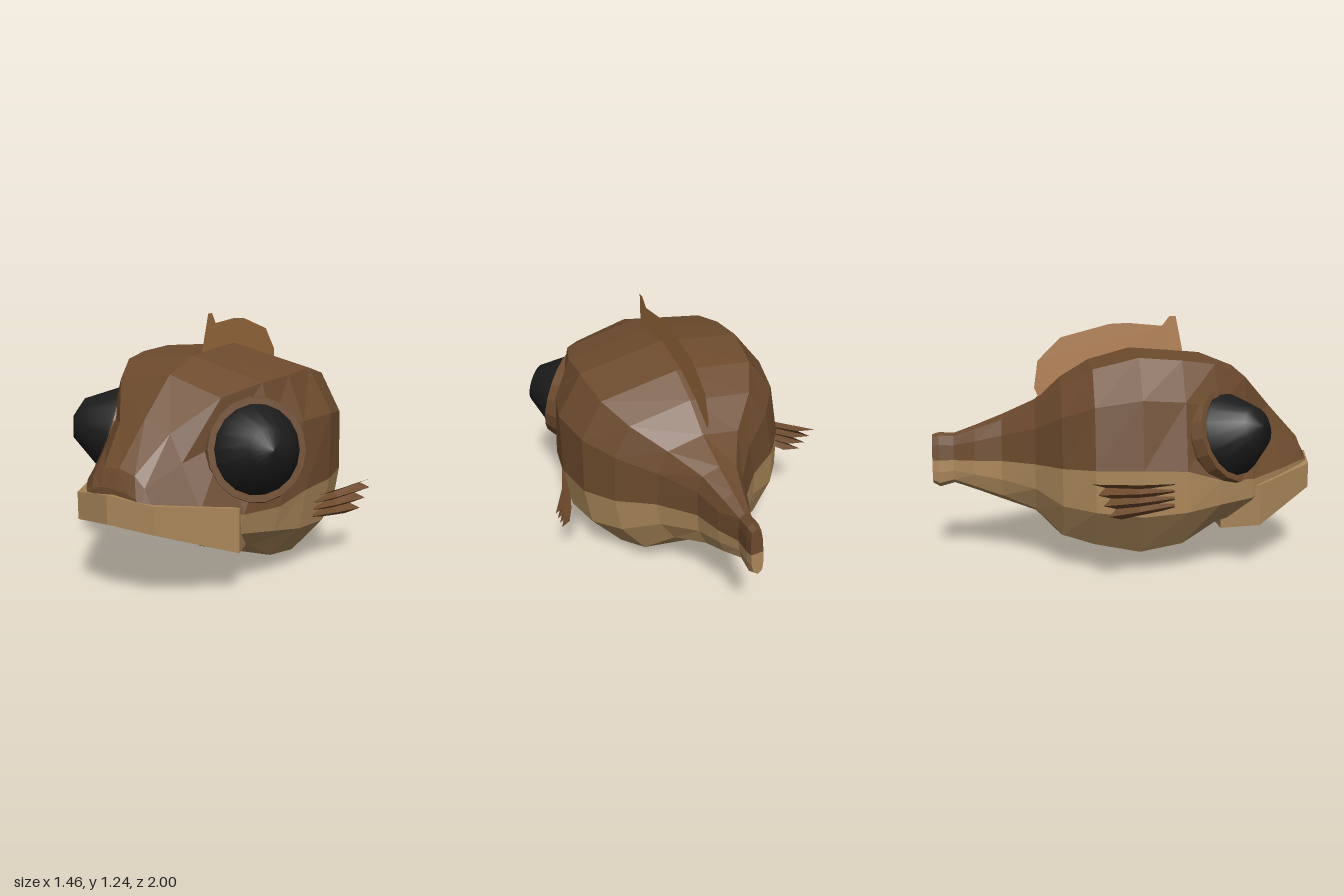
import * as THREE from 'three';

const mat = (name, color, side = THREE.FrontSide) => {
  const m = new THREE.MeshStandardMaterial({ color, side });
  m.name = name;
  return m;
};

// Faceted geometry from a list of quads or triangles of [x, y, z] corners
function faceted(faces) {
  const pos = [];
  for (const f of faces)
    for (let i = 1; i < f.length - 1; i++) pos.push(...f[0], ...f[i], ...f[i + 1]);
  const g = new THREE.BufferGeometry();
  g.setAttribute('position', new THREE.Float32BufferAttribute(pos, 3));
  g.computeVertexNormals();
  return g;
}

export function createModel() {
  const backBrown = mat('back brown', 0x6c4a2d);
  const bellyTan = mat('belly tan', 0xab875a);
  const finOrange = mat('dorsal fin ochre', 0xa87442, THREE.DoubleSide);
  const finBrown = mat('side fin brown', 0x6e4a2c, THREE.DoubleSide);
  const eyeBlack = mat('eye black', 0x1b1b1b);

  const fish = new THREE.Group();
  fish.name = 'fish';
  const add = (name, geo, material, parent = fish) => {
    const m = new THREE.Mesh(geo, material);
    m.name = name;
    parent.add(m);
    return m;
  };

  // Body sections: z, mid half-width, upper half-width, ridge half-width, top, mid, bottom
  const sections = [
    [-1.0, 0, 0, 0, 0.5, 0.5, 0.5],
    [-1.0, 0.03, 0.028, 0.022, 0.635, 0.5, 0.38],
    [-0.965, 0.036, 0.034, 0.027, 0.645, 0.5, 0.36],
    [-0.89, 0.036, 0.034, 0.027, 0.64, 0.5, 0.38],
    [-0.78, 0.085, 0.075, 0.05, 0.68, 0.5, 0.34],
    [-0.64, 0.125, 0.115, 0.085, 0.735, 0.5, 0.285],
    [-0.47, 0.26, 0.24, 0.18, 0.81, 0.495, 0.22],
    [-0.34, 0.43, 0.4, 0.31, 0.93, 0.49, 0.085],
    [-0.19, 0.54, 0.51, 0.39, 1.02, 0.49, 0.045],
    [0.03, 0.585, 0.56, 0.42, 1.08, 0.49, 0],
    [0.24, 0.565, 0.52, 0.42, 1.065, 0.48, 0.04],
    [0.41, 0.52, 0.45, 0.38, 1.05, 0.43, 0.16],
    [0.59, 0.44, 0.31, 0.28, 0.98, 0.42, 0.21],
    [0.76, 0.32, 0.21, 0.14, 0.8, 0.45, 0.33],
    [0.925, 0.18, 0.14, 0.085, 0.61, 0.48, 0.43],
    [0.955, 0.15, 0.12, 0.07, 0.525, 0.48, 0.45],
    [0.955, 0, 0, 0, 0.48, 0.48, 0.48],
  ];
  const rings = sections.map(([z, w, u, r, top, mid, bot]) => {
    const half = [
      [r, top - 0.11 * (top - mid), z],
      [u, mid + 0.55 * (top - mid), z],
      [w, mid, z],
      [w * 0.97, mid - 0.45 * (mid - bot), z],
      [w * 0.72, bot + 0.15 * (mid - bot), z],
    ];
    const mirrored = half.map(([x, y]) => [-x, y, z]).reverse();
    return [[0, top, z], ...half, [0, bot, z], ...mirrored];
  });
  const upper = [], lower = [];
  for (let i = 0; i < rings.length - 1; i++) {
    const a = rings[i], b = rings[i + 1];
    for (let j = 0; j < 12; j++) {
      const k = (j + 1) % 12;
      (j < 3 || j > 8 ? upper : lower).push([a[j], b[j], b[k], a[k]]);
    }
  }
  add('upperBody', faceted(upper), backBrown);
  add('belly', faceted(lower), bellyTan);

  // Broad jaw plate: x, z, top y, bottom y along the left half
  const side = [
    [0.36, 0.45, 0.38, 0.19],
    [0.435, 0.63, 0.425, 0.22],
    [0.21, 0.95, 0.48, 0.355],
  ];
  const rim = [...side, [0, 1.0, 0.51, 0.38],
    ...side.map(([x, ...rest]) => [-x, ...rest]).reverse()];
  const jawFaces = [];
  rim.forEach((p, i) => {
    const q = rim[(i + 1) % rim.length];
    const tA = [p[0], p[2], p[1]], tB = [q[0], q[2], q[1]];
    const bA = [p[0], p[3], p[1]], bB = [q[0], q[3], q[1]];
    jawFaces.push([tA, tB, bB, bA], [[0, 0.44, 0.65], tB, tA], [[0, 0.255, 0.65], bA, bB]);
  });
  const jaw = add('jaw', faceted(jawFaces), bellyTan);
  // The jaw stays level while the body leans
  jaw.rotation.z = 0.08;
  jaw.position.x = 0.038;

  // Dorsal fin, a thin upright sheet
  const outline = [[0.32, 1.0], [0.32, 1.06], [0.285, 1.24], [0.25, 1.24], [0.21, 1.19],
    [0.03, 1.205], [-0.07, 1.2], [-0.33, 1.13], [-0.45, 1.01], [-0.47, 0.87],
    [-0.44, 0.8], [-0.3, 0.9], [0, 1.0]];
  const finShape = new THREE.Shape(outline.map(([x, y]) => new THREE.Vector2(x, y)));
  const dorsal = add('dorsalFin',
    new THREE.ShapeGeometry(finShape).rotateY(-Math.PI / 2), finOrange);
  dorsal.position.x = -0.02;
  dorsal.rotation.y = 0.03;

  // Eyes and side fins, one of each per side
  const V = (x, y) => new THREE.Vector2(x, y);
  const socketGeo = new THREE.LatheGeometry(
    [V(0.25, -0.17), V(0.252, -0.04), V(0.235, 0.012), V(0.205, 0.012), V(0.19, -0.02)], 18,
  ).toNonIndexed();
  socketGeo.computeVertexNormals();
  const eyeGeo = new THREE.LatheGeometry(
    [V(0.208, -0.01), V(0.2, 0.02), V(0.1, 0.165), V(0, 0.195)], 18,
  );
  const up = new THREE.Vector3(0, 1, 0);
  const sides = [
    { s: 1, label: 'left', eyeAt: [0.42, 0.693, 0.485], flare: 0.4, finZ: 0.03 },
    { s: -1, label: 'right', eyeAt: [-0.415, 0.64, 0.485], flare: 0.6, finZ: 0.065 },
  ];
  for (const { s, label, eyeAt, flare, finZ } of sides) {
    const eye = new THREE.Group();
    eye.name = label + 'Eye';
    eye.position.set(...eyeAt);
    eye.quaternion.setFromUnitVectors(up, new THREE.Vector3(s * 0.75, 0.25, 0.6).normalize());
    add(label + 'EyeSocket', socketGeo, backBrown, eye);
    add(label + 'Eyeball', eyeGeo, eyeBlack, eye);
    fish.add(eye);

    // Pleated fan with four prongs
    const row = [];
    for (let j = 0; j <= 7; j++) {
      const t = j / 7, fold = j % 2 ? 0.014 : -0.014;
      const back = -0.2 - 0.09 * t + (j % 2 ? 0 : 0.05);
      row.push([
        [s * (0.56 + fold), 0.305 + 0.12 * t, 0.11],
        [s * (0.605 + fold), 0.285 + 0.145 * t, -0.06],
        [s * (0.605 + fold + (-0.06 - back) * flare), 0.28 + 0.18 * t, back],
      ]);
    }
    const pleats = [];
    for (let j = 0; j < 7; j++)
      for (let i = 0; i < 2; i++) {
        const q = [row[j][i], row[j][i + 1], row[j + 1][i + 1], row[j + 1][i]];
        pleats.push(s > 0 ? q : q.reverse());
      }
    add(label + 'SideFin', faceted(pleats), finBrown).position.z = finZ;
  }

  // Slight lean and turn of the whole body
  fish.rotation.set(0, 0.05, -0.08);
  fish.position.x = -0.005;
  const model = new THREE.Group();
  model.name = 'model';
  model.add(fish);
  return model;
}
